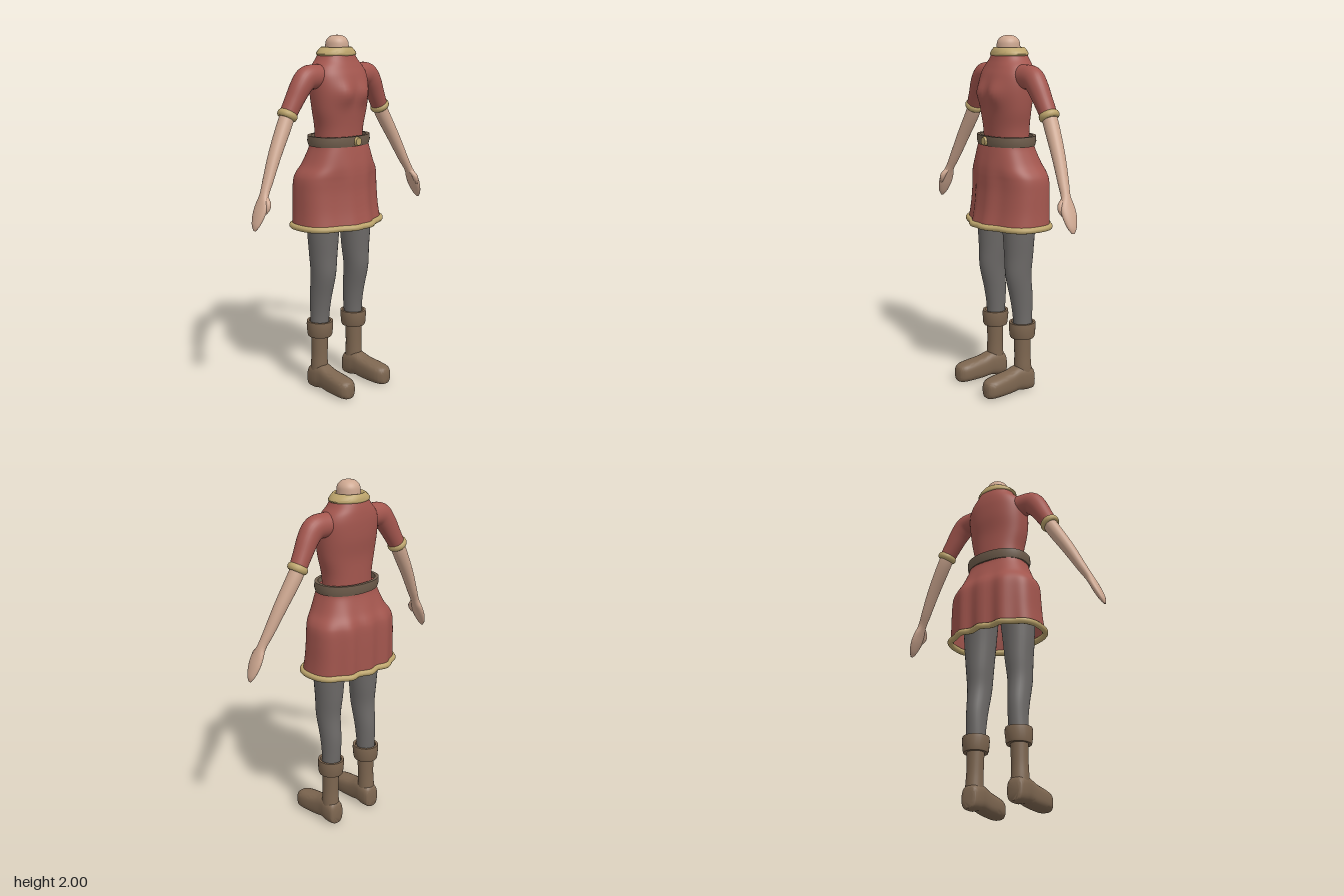
import * as THREE from 'three';
import { toCreasedNormals } from 'three/addons/utils/BufferGeometryUtils.js';

const mat = (name, color, side = THREE.FrontSide) =>
  Object.assign(new THREE.MeshStandardMaterial({ color, side }), { name });

const spow = (v, e) => Math.sign(v) * Math.abs(v) ** e;

// Smooth interpolation through rows of numbers
function smoothRows(rows, sub) {
  if (sub < 2) return rows;
  const out = [];
  const at = (i) => rows[Math.max(0, Math.min(rows.length - 1, i))];
  for (let i = 0; i < rows.length - 1; i++) {
    for (let k = 0; k < sub; k++) {
      const t = k / sub;
      out.push(at(i).map((p1, c) => {
        const p0 = at(i - 1)[c], p2 = at(i + 1)[c], p3 = at(i + 2)[c];
        return p1 + 0.5 * t * (p2 - p0 + t * (2 * p0 - 5 * p1 + 4 * p2 - p3 + t * (3 * (p1 - p2) + p3 - p0)));
      }));
    }
  }
  out.push(rows[rows.length - 1]);
  return out;
}

// Skin a closed surface through rings; side = -1 mirrors it in x
function loft(rows, ring, { side = 1, sub = 5, n = 36, caps = true, crease = 0 } = {}) {
  const list = smoothRows(rows, sub), pos = [], idx = [];
  const tri = (a, b, c) => (side > 0 ? idx.push(a, b, c) : idx.push(a, c, b));
  const addRing = (i) => {
    for (let j = 0; j < n; j++) {
      const [x, y, z] = ring(list[i], (j / n) * Math.PI * 2, i, list);
      pos.push(x * side, y, z);
    }
  };
  list.forEach((_, i) => addRing(i));
  for (let i = 0; i < list.length - 1; i++) {
    for (let j = 0; j < n; j++) {
      const a = i * n + j, c = i * n + ((j + 1) % n);
      tri(a, a + n, c);
      tri(c, a + n, c + n);
    }
  }
  if (caps) {
    for (const [i, last] of [[0, false], [list.length - 1, true]]) {
      const s = pos.length / 3;
      addRing(i);
      for (let j = 1; j < n - 1; j++) last ? tri(s, s + j + 1, s + j) : tri(s, s + j, s + j + 1);
    }
  }
  const g = new THREE.BufferGeometry();
  g.setAttribute('position', new THREE.Float32BufferAttribute(pos, 3));
  g.setIndex(idx);
  g.computeVertexNormals();
  return crease ? toCreasedNormals(g, crease) : g;
}

// Level ring, row: [y, half width, z front, z back, centre x]
const level = (e = 1) => ([y, hx, zf, zb, cx = 0], t) =>
  [cx + hx * spow(Math.cos(t), e), y, (zf + zb) / 2 + ((zf - zb) / 2) * spow(Math.sin(t), e)];

// Ring across a limb, row: [x, y, z, radius, z radius]
const limb = ([x, y, z, a, b], t, i, list) => {
  const p = list[Math.max(0, i - 1)], q = list[Math.min(list.length - 1, i + 1)];
  const dx = q[0] - p[0], dy = q[1] - p[1], l = Math.hypot(dx, dy) || 1;
  return [x + (dy / l) * a * Math.cos(t), y - (dx / l) * a * Math.cos(t), z + b * Math.sin(t)];
};

// Upright ring for the foot, row: [z, half width, y bottom, y top, centre x]
const footRing = ([z, w, y0, y1, cx], t) =>
  [cx + w * spow(Math.cos(t), 0.72), (y0 + y1) / 2 - ((y1 - y0) / 2) * spow(Math.sin(t), 0.72), z];

// Chest: level ring with two soft bumps at the front
const torsoRing = (row, t) => {
  const p = level(0.9)(row, t);
  if (Math.sin(t) > 0) {
    const d = ((Math.abs(p[0]) - 0.07) / 0.055) ** 2 + ((p[1] - 1.69) / 0.06) ** 2;
    p[2] += 0.026 * Math.exp(-d) * Math.sin(t);
  }
  return p;
};

// Skirt: level ring with folds behind and a raised front panel, row[4] = fold depth
const skirtRing = (row, t) => {
  const p = level(0.78)([...row.slice(0, 4), 0], t), s = Math.sin(t);
  if (s < 0) p[2] -= row[4] * Math.cos((p[0] / 0.135) * Math.PI * 2) * s * s;
  else p[2] += row[4] * s * (3.3 * Math.exp(-((p[0] / 0.105) ** 4)) - 0.5 * Math.exp(-((p[0] / 0.03) ** 2)));
  return p;
};

export function createModel() {
  const model = new THREE.Group();
  model.name = 'figure';
  const red = mat('redCloth', 0xa3564e, THREE.DoubleSide), gold = mat('goldTrim', 0xbda56c);
  const skin = mat('skin', 0xcda790), grey = mat('greyLeggings', 0x6d6a68);
  const boot = mat('bootLeather', 0x7d6650), leather = mat('beltLeather', 0x705e4d);
  const add = (name, geo, m) => {
    const mesh = new THREE.Mesh(geo, m);
    mesh.name = name;
    model.add(mesh);
    return mesh;
  };

  // Bodice
  add('bodice', loft([
    [1.40, 0.145, 0.085, -0.13], [1.5, 0.15, 0.09, -0.13], [1.6, 0.172, 0.1, -0.132],
    [1.7, 0.183, 0.108, -0.145], [1.78, 0.182, 0.095, -0.148], [1.83, 0.162, 0.075, -0.145],
    [1.87, 0.125, 0.058, -0.138], [1.91, 0.1, 0.045, -0.125],
  ], torsoRing, { n: 56 }), red);

  // Neck and collar
  add('neck', loft([
    [1.87, 0.066, 0.032, -0.102], [1.94, 0.064, 0.031, -0.1], [1.97, 0.059, 0.025, -0.094],
    [1.99, 0.042, 0.008, -0.077], [1.998, 0.022, -0.012, -0.057], [2.0, 0.003, -0.031, -0.038],
  ], level()), skin);
  add('collar', loft([
    [1.885, 0.1, 0.045, -0.125], [1.895, 0.12, 0.056, -0.135], [1.908, 0.119, 0.055, -0.135],
    [1.932, 0.092, 0.045, -0.125], [1.935, 0.082, 0.038, -0.117], [1.925, 0.07, 0.034, -0.105],
    [1.9, 0.066, 0.03, -0.1],
  ], level(), { sub: 2, caps: false, crease: 0.8 }), gold);

  // Skirt with its hem
  const skirtRows = [
    [0.965, 0.28, 0.137, -0.208, 0.011], [1.05, 0.273, 0.122, -0.21, 0.01],
    [1.15, 0.269, 0.113, -0.211, 0.009], [1.22, 0.264, 0.113, -0.209, 0.008],
    [1.26, 0.25, 0.117, -0.2, 0.006], [1.31, 0.215, 0.12, -0.178, 0.003],
    [1.39, 0.18, 0.112, -0.15, 0], [1.43, 0.17, 0.1, -0.145, 0], [1.44, 0.14, 0.08, -0.125, 0],
  ];
  add('skirt', loft(skirtRows, skirtRing, { n: 96, caps: false }), red);
  const hemPoints = Array.from({ length: 80 }, (_, j) =>
    new THREE.Vector3(...skirtRing(skirtRows[0], (j / 80) * Math.PI * 2)));
  add('skirtHem', new THREE.TubeGeometry(new THREE.CatmullRomCurve3(hemPoints, true), 160, 0.017, 10, true), gold);

  // Belt and buckle
  add('belt', loft([
    [1.405, 0.165, 0.095, -0.135], [1.405, 0.186, 0.116, -0.157], [1.43, 0.193, 0.123, -0.164],
    [1.46, 0.19, 0.121, -0.164], [1.46, 0.172, 0.103, -0.146], [1.405, 0.165, 0.095, -0.135],
  ], level(0.92), { sub: 1, n: 48, caps: false, crease: 0.7 }), leather);
  const buckle = add('buckle', new THREE.CylinderGeometry(0.021, 0.026, 0.016, 20), gold);
  buckle.rotation.x = Math.PI / 2;
  buckle.position.set(0, 1.432, 0.126);

  for (const side of [1, -1]) {
    const tag = side > 0 ? 'left' : 'right';
    const o = { side, n: 28 };

    // Sleeve and cuff
    add(tag + 'Sleeve', loft([
      [0.08, 1.775, -0.035, 0.07, 0.07], [0.17, 1.782, -0.03, 0.066, 0.062],
      [0.235, 1.775, -0.03, 0.066, 0.058], [0.278, 1.73, -0.032, 0.06, 0.056],
      [0.32, 1.66, -0.038, 0.052, 0.051], [0.362, 1.588, -0.044, 0.046, 0.047],
    ], limb, o), red);
    const cuff = add(tag + 'SleeveCuff', new THREE.TorusGeometry(0.041, 0.015, 10, 28), gold);
    cuff.scale.z = 1.35;
    cuff.position.set(0.362 * side, 1.59, -0.044);
    cuff.quaternion.setFromUnitVectors(new THREE.Vector3(0, 0, 1), new THREE.Vector3(0.5 * side, -0.866, 0));

    // Forearm and mitten-like hand
    add(tag + 'Forearm', loft([
      [0.34, 1.63, -0.044, 0.036, 0.036], [0.38, 1.55, -0.043, 0.041, 0.041],
      [0.467, 1.4, -0.026, 0.035, 0.037], [0.535, 1.27, -0.008, 0.027, 0.031],
      [0.573, 1.2, 0.004, 0.022, 0.027], [0.597, 1.15, 0.011, 0.021, 0.043],
      [0.62, 1.1, 0.012, 0.02, 0.043], [0.642, 1.05, 0.013, 0.014, 0.028],
      [0.652, 1.022, 0.014, 0.004, 0.008],
    ], limb, o), skin);
    add(tag + 'Thumb', loft([
      [0.572, 1.195, 0.015, 0.012, 0.014], [0.582, 1.165, 0.042, 0.016, 0.017],
      [0.592, 1.135, 0.05, 0.014, 0.014], [0.602, 1.108, 0.048, 0.004, 0.004],
    ], limb, { side, n: 14 }), skin);

    // Leg
    add(tag + 'Leg', loft([
      [0.36, 0.052, 0.012, -0.09, 0.138], [0.45, 0.053, 0.018, -0.097, 0.135],
      [0.55, 0.057, 0.035, -0.1, 0.134], [0.68, 0.065, 0.064, -0.09, 0.133],
      [0.8, 0.076, 0.068, -0.1, 0.13], [0.95, 0.09, 0.075, -0.11, 0.128],
      [1.1, 0.098, 0.08, -0.125, 0.12], [1.25, 0.09, 0.075, -0.13, 0.1],
    ], level(), o), grey);

    // Boot: shaft, folded top and foot
    add(tag + 'BootShaft', loft([
      [0.06, 0.05, 0.012, -0.094, 0.143], [0.14, 0.048, 0.012, -0.088, 0.143],
      [0.22, 0.046, 0.01, -0.084, 0.141], [0.36, 0.05, 0.012, -0.086, 0.139],
    ], level(), o), boot);
    add(tag + 'BootTop', loft([
      [0.318, 0.045, 0.01, -0.084, 0.138], [0.316, 0.066, 0.031, -0.107, 0.138],
      [0.33, 0.07, 0.037, -0.111, 0.138], [0.385, 0.075, 0.04, -0.115, 0.137],
      [0.405, 0.073, 0.038, -0.113, 0.137], [0.405, 0.06, 0.024, -0.1, 0.137],
      [0.37, 0.05, 0.014, -0.09, 0.137],
    ], level(), { ...o, sub: 1, caps: false, crease: 0.8 }), boot);
    add(tag + 'Foot', loft([
      [-0.1, 0.03, 0.005, 0.1, 0.142], [-0.088, 0.047, 0, 0.128, 0.142],
      [-0.04, 0.054, 0, 0.148, 0.142], [0.005, 0.052, 0.008, 0.148, 0.142],
      [0.06, 0.054, 0.002, 0.13, 0.144], [0.14, 0.058, 0, 0.117, 0.147],
      [0.19, 0.053, 0, 0.108, 0.149], [0.217, 0.036, 0.006, 0.095, 0.15],
      [0.226, 0.014, 0.022, 0.075, 0.15],
    ], footRing, { side, n: 32, crease: 0.9 }), boot);
  }
  return model;
}
